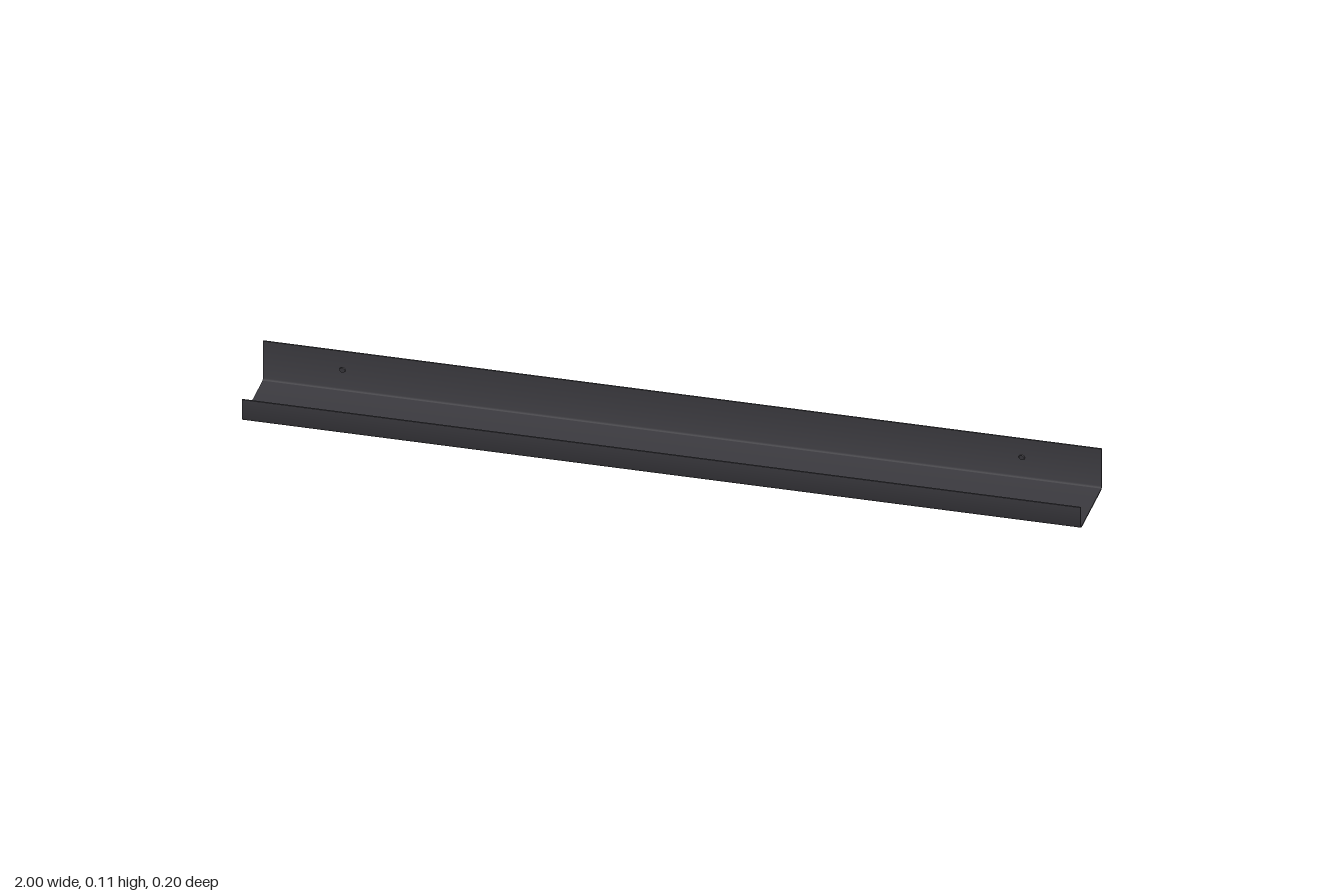
import * as THREE from 'three';
import { toCreasedNormals } from 'three/addons/utils/BufferGeometryUtils.js';

const LENGTH = 2, HALF = 0.098, WALL = 0.004;
const FRONT_H = 0.057, BACK_H = 0.107, R = 0.01, r = R - WALL;

// Bent sheet section: shape x runs from the front lip to the back wall
function channelShape() {
  const s = new THREE.Shape();
  s.moveTo(-HALF, FRONT_H);
  s.lineTo(-HALF, R);
  s.absarc(-HALF + R, R, R, Math.PI, Math.PI * 1.5, false);
  s.lineTo(HALF - R, 0);
  s.absarc(HALF - R, R, R, Math.PI * 1.5, Math.PI * 2, false);
  s.lineTo(HALF, BACK_H);
  s.lineTo(HALF - WALL, BACK_H);
  s.lineTo(HALF - WALL, R);
  s.absarc(HALF - R, R, r, 0, -Math.PI / 2, true);
  s.lineTo(-HALF + R, WALL);
  s.absarc(-HALF + R, R, r, -Math.PI / 2, -Math.PI, true);
  s.lineTo(-HALF + WALL, FRONT_H);
  s.closePath();
  return s;
}

// Small screw holding the back wall, facing +z
function makeScrew(x, material) {
  const screw = new THREE.Group();
  screw.name = 'mountingScrew';
  const head = new THREE.Mesh(new THREE.CylinderGeometry(0.0065, 0.0075, 0.002, 20), material);
  head.name = 'screwHead';
  head.rotation.x = Math.PI / 2 + 0.15;
  head.position.z = 0.003;
  const shank = new THREE.Mesh(new THREE.CylinderGeometry(0.0035, 0.0035, 0.004, 16), material);
  shank.name = 'screwShank';
  shank.rotation.x = Math.PI / 2;
  shank.position.z = 0.0005;
  screw.add(head, shank);
  screw.position.set(x, 0.059, -HALF + WALL);
  return screw;
}

export function createModel() {
  const model = new THREE.Group();
  model.name = 'pictureLedge';
  const metal = new THREE.MeshStandardMaterial({ color: 0x3a393e });
  metal.name = 'dark grey metal';

  // Base, front lip and back wall folded from one sheet
  const geometry = new THREE.ExtrudeGeometry(channelShape(), {
    depth: LENGTH, bevelEnabled: false, curveSegments: 6,
  });
  geometry.translate(0, 0, -LENGTH / 2);
  geometry.rotateY(Math.PI / 2);
  const channel = new THREE.Mesh(toCreasedNormals(geometry, 0.6), metal);
  channel.name = 'shelfChannel';
  model.add(channel);

  // Screws near both ends of the back wall
  for (const side of [-1, 1]) model.add(makeScrew(side * 0.81, metal));
  return model;
}
